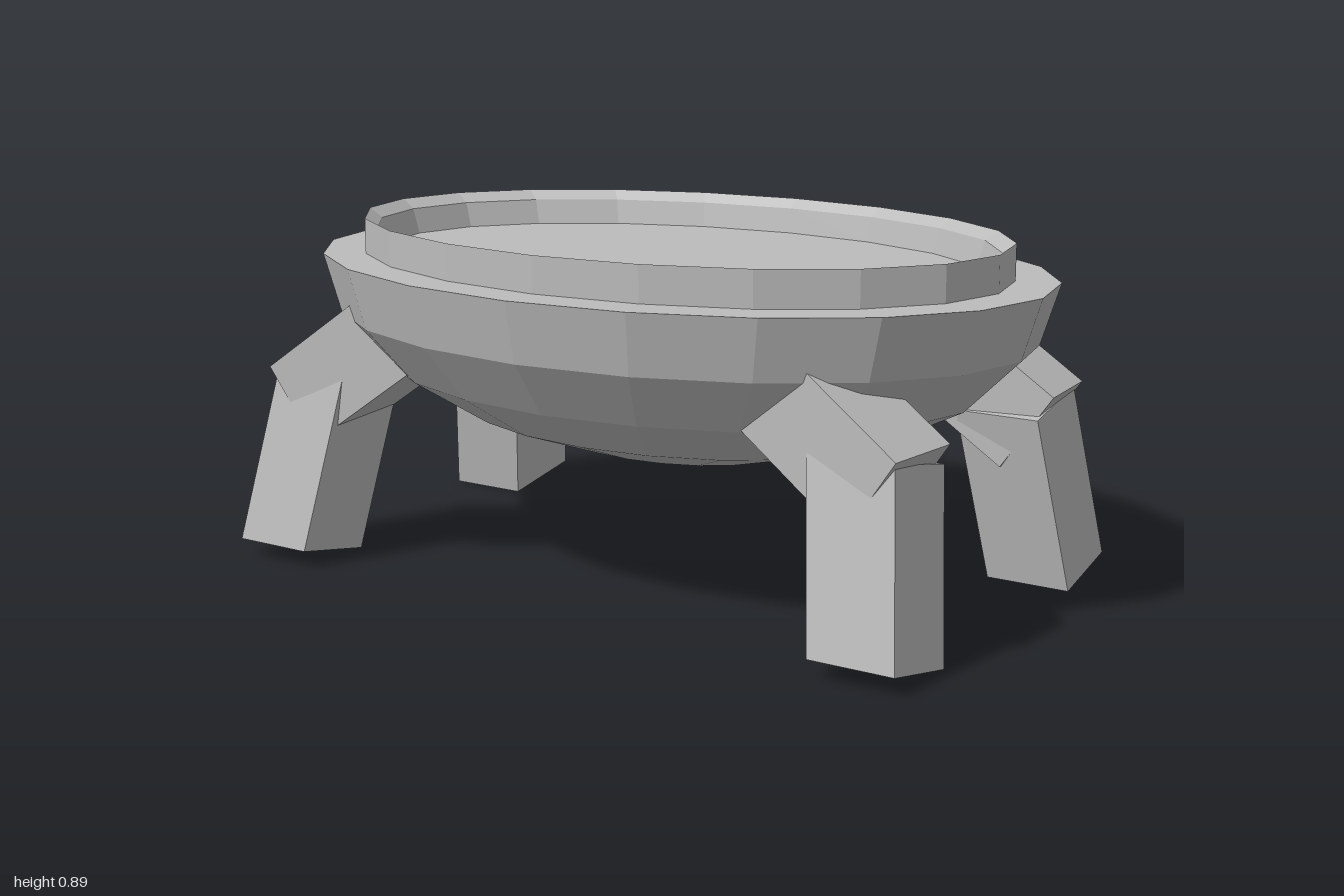
import * as THREE from 'three';

export function createModel() {
  const model = new THREE.Group();
  const grey = new THREE.MeshStandardMaterial({ color: 0xbcbcbc, flatShading: true });
  grey.name = 'stone grey';

  const add = (name, geometry) => {
    const mesh = new THREE.Mesh(geometry, grey);
    mesh.name = name;
    model.add(mesh);
    return mesh;
  };

  // Oval surface turned from a profile of [radius, height] points
  const oval = (name, points, depth) => {
    const profile = points.map(([r, y]) => new THREE.Vector2(r, y));
    add(name, new THREE.LatheGeometry(profile, 20).scale(1, 1, depth));
  };

  // Half-ellipsoid bowl, closed by a flat top
  const bowl = [];
  for (let i = 0; i <= 5; i++) {
    const a = (i * Math.PI) / 10;
    bowl.push([Math.sin(a), 0.8 - 0.495 * Math.cos(a)]);
  }
  bowl.push([0, 0.8]);
  oval('bowl', bowl, 0.7);

  // Raised rim with a bevelled inner edge
  oval('rim', [[0.89, 0.8], [0.89, 0.89], [0.855, 0.865], [0.835, 0.8]], 0.668);

  // Four legs: a hip block slanting out of the bowl and a splayed lower block
  for (const sx of [-1, 1]) {
    const hipX = sx < 0 ? 0.69 : 0.655;
    const shinX = sx < 0 ? 0.848 : 0.803;
    const lean = sx < 0 ? 0.155 : 0.13;
    for (const sz of [-1, 1]) {
      const place = (sx < 0 ? 'Right' : 'Left') + (sz < 0 ? 'Back' : 'Front');

      const hip = add('hip' + place, new THREE.BoxGeometry(0.45, 0.23, 0.22));
      hip.rotation.set(0, -0.09 * sx * sz, -0.61 * sx, 'YZX');
      hip.position.set(sx * hipX, 0.54, sz * 0.365);

      const shin = new THREE.BoxGeometry(0.22, 0.455, 0.23).rotateX(-0.2 * sz);
      shin.applyMatrix4(new THREE.Matrix4().makeShear(0, 0, -lean * sx, 0, 0, 0));
      // Sideways splay: x shifts with height
      const p = shin.attributes.position;
      const box = new THREE.BoxGeometry(0.22, 0.455, 0.23).rotateX(-0.2 * sz).attributes.position;
      for (let i = 0; i < p.count; i++) {
        p.setXYZ(i, box.getX(i) - lean * sx * box.getY(i), box.getY(i), box.getZ(i));
      }
      shin.computeVertexNormals();
      add('lowerLeg' + place, shin).position.set(sx * shinX, 0.25, sz * 0.408);
    }
  }
  return model;
}
